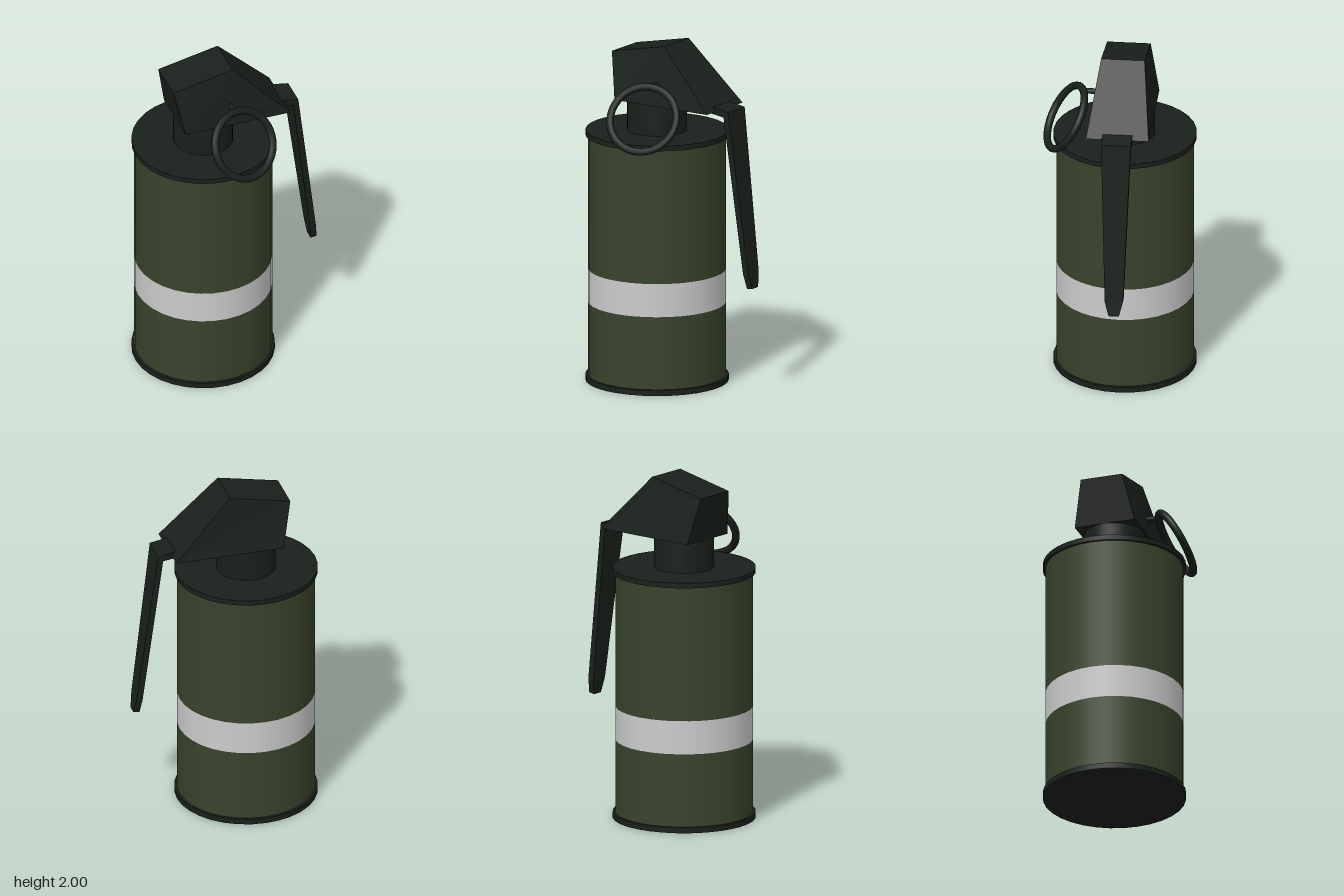
import * as THREE from 'three';

const CX = -0.138, CZ = -0.03; // axis of the canister

const green = new THREE.MeshStandardMaterial({ color: 0x38432b });
const white = new THREE.MeshStandardMaterial({ color: 0xcccccc });
const dark = new THREE.MeshStandardMaterial({ color: 0x19201b });

// Joins equal-sized cross-sections into a closed, hard-edged solid.
// Each section runs counter-clockwise about the loft direction.
function loft(sections) {
  const n = sections[0].length, last = (sections.length - 1) * n;
  const index = [];
  for (let i = 0; i < sections.length - 1; i++) {
    for (let j = 0; j < n; j++) {
      const a = i * n + j, b = i * n + (j + 1) % n;
      index.push(a, b, b + n, a, b + n, a + n);
    }
  }
  for (let j = 1; j < n - 1; j++) {
    index.push(0, j + 1, j, last, last + j, last + j + 1);
  }
  const indexed = new THREE.BufferGeometry();
  indexed.setAttribute('position', new THREE.Float32BufferAttribute(sections.flat(2), 3));
  indexed.setIndex(index);
  const geometry = indexed.toNonIndexed();
  geometry.computeVertexNormals();
  return geometry;
}

export function createModel() {
  const model = new THREE.Group();
  model.name = 'smokeCanister';

  function add(name, geometry, material) {
    const mesh = new THREE.Mesh(geometry, material);
    mesh.name = name;
    model.add(mesh);
    return mesh;
  }

  function drum(name, radius, y0, y1, material, open = false) {
    const geometry = new THREE.CylinderGeometry(radius, radius, y1 - y0, 32, 1, open);
    add(name, geometry, material).position.set(CX, (y0 + y1) / 2, CZ);
  }

  // Canister walls, painted band and rims
  drum('lowerBody', 0.395, 0.03, 0.46, green, true);
  drum('paintedBand', 0.395, 0.46, 0.655, white, true);
  drum('upperBody', 0.395, 0.655, 1.45, green, true);
  drum('bottomRim', 0.41, 0, 0.033, dark);
  drum('topRim', 0.41, 1.44, 1.47, dark);
  drum('neck', 0.172, 1.46, 1.67, dark);

  // Fuse head: wide base tapering to a narrower sloping top
  const quad = (x0, y0, x1, y1, half) => [
    [x1, y1, CZ + half], [x1, y1, CZ - half], [x0, y0, CZ - half], [x0, y0, CZ + half],
  ];
  add('fuseHead', loft([
    quad(-0.31, 1.655, 0.33, 1.655, 0.18),
    quad(-0.365, 1.925, -0.005, 2, 0.125),
  ]), dark);

  // Safety lever: outer x, y, inner x, y, half width
  const stations = [
    [0.24, 1.69, 0.22, 1.65, 0.085],
    [0.41, 1.66, 0.38, 1.627, 0.085],
    [0.529, 0.72, 0.493, 0.716, 0.053],
    [0.541, 0.63, 0.505, 0.625, 0.03],
  ];
  add('safetyLever', loft(stations.map(([ox, oy, ix, iy, w]) => [
    [ox, oy, CZ + w], [ix, iy, CZ + w], [ix, iy, CZ - w], [ox, oy, CZ - w],
  ])), dark);

  // Pull pin and its tilted ring
  const pin = add('pullPin', new THREE.CylinderGeometry(0.016, 0.016, 0.13, 12), dark);
  pin.rotation.x = Math.PI / 2;
  pin.position.set(-0.03, 1.777, 0.145);

  const ring = add('pullRing', new THREE.TorusGeometry(0.195, 0.022, 10, 40), dark);
  ring.position.set(-0.01, 1.612, 0.298);
  ring.quaternion.setFromUnitVectors(
    new THREE.Vector3(0, 0, 1),
    new THREE.Vector3(0.27, 0.51, 0.815).normalize(),
  );

  return model;
}
